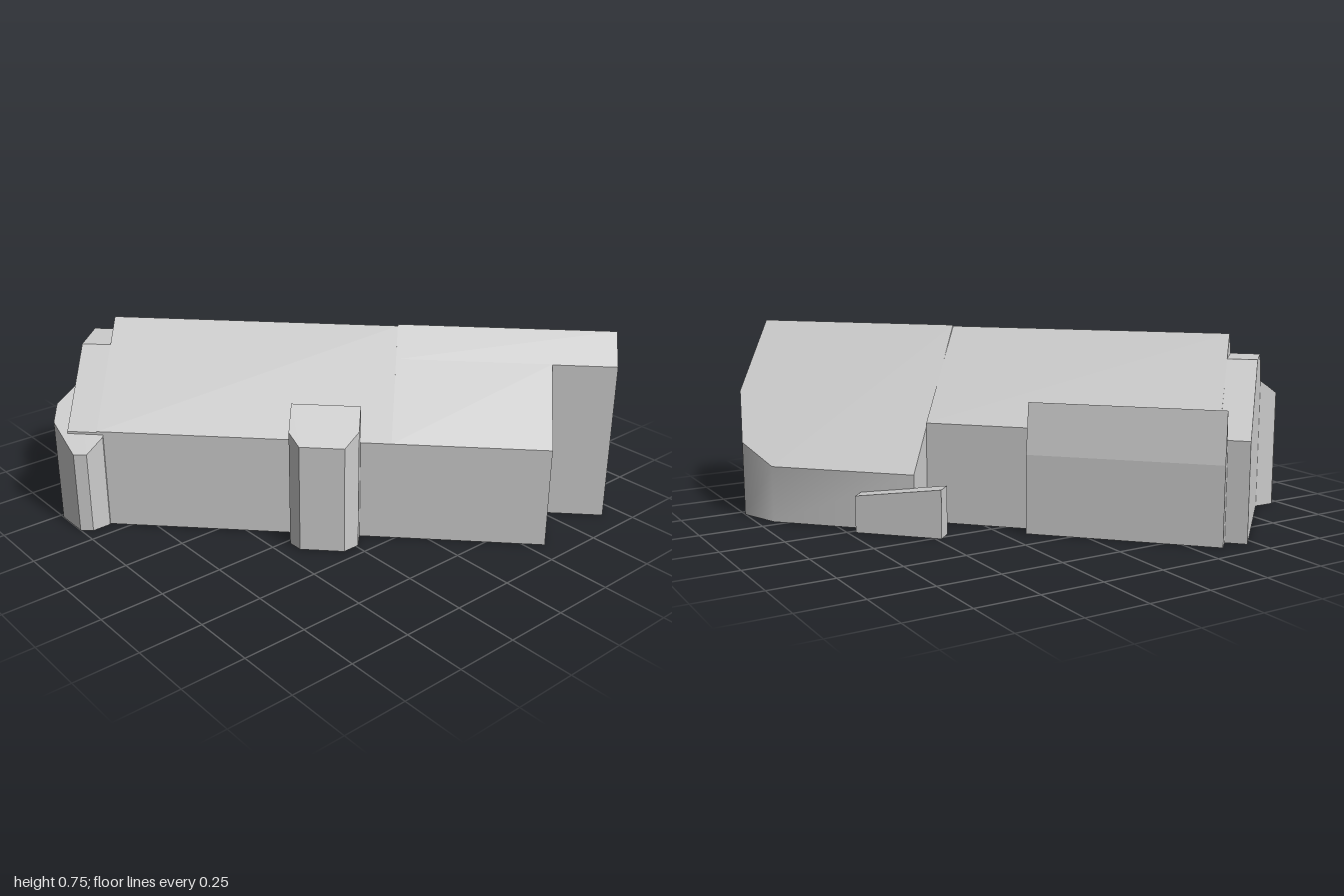
import * as THREE from 'three';
import { toCreasedNormals } from 'three/addons/utils/BufferGeometryUtils.js';

export function createModel() {
  const model = new THREE.Group();
  model.name = 'hall';
  const building = new THREE.Group();
  building.name = 'building';
  building.rotation.y = -THREE.MathUtils.degToRad(45.7); // long axis runs diagonally
  model.add(building);

  const stone = new THREE.MeshStandardMaterial({ color: 0xcccccc });
  stone.name = 'pale grey';

  // Local plan coordinates: u along the building, v across it (v = -z)
  function add(name, geometry) {
    const mesh = new THREE.Mesh(geometry, stone);
    mesh.name = name;
    building.add(mesh);
  }

  // Cross-section [v, y] swept from u0 to u1
  function sweep(name, u0, u1, section) {
    const shape = new THREE.Shape(section.map(([v, y]) => new THREE.Vector2(v, y)));
    const g = new THREE.ExtrudeGeometry(shape, { depth: u1 - u0, bevelEnabled: false });
    g.rotateY(Math.PI / 2);
    g.translate(u0, 0, 0);
    add(name, g);
  }

  // Convex plan [u, v] raised from the ground to a sloping top
  function prism(name, plan, height) {
    const pts = plan.map(([u, v]) => new THREE.Vector2(u, v));
    if (THREE.ShapeUtils.area(pts) < 0) pts.reverse();
    const low = pts.map((p) => [p.x, 0, -p.y]);
    const top = pts.map((p) => [p.x, height(p.x, p.y), -p.y]);
    const pos = [];
    const tri = (a, b, c) => pos.push(...a, ...b, ...c);
    pts.forEach((p, i) => {
      const j = (i + 1) % pts.length;
      tri(low[i], low[j], top[j]);
      tri(low[i], top[j], top[i]);
      if (i > 0 && j > 0) {
        tri(top[0], top[i], top[j]);
        tri(low[0], low[j], low[i]);
      }
    });
    const g = new THREE.BufferGeometry();
    g.setAttribute('position', new THREE.Float32BufferAttribute(pos, 3));
    add(name, toCreasedNormals(g, 0.68));
  }

  const ridge = -0.05;
  const southRoof = (u, v) => 0.745 - 0.94 * (ridge - v);

  // Main gabled hall, and its lower end with the ridge cut flat
  sweep('mainHall', -0.864, 0.272, [
    [-0.413, 0], [0.313, 0], [0.313, 0.4], [ridge, 0.745], [-0.413, 0.404],
  ]);
  sweep('clippedEnd', -0.98, -0.864, [
    [-0.413, 0], [0.313, 0], [0.313, 0.39], [0.044, 0.657], [-0.138, 0.657], [-0.413, 0.4],
  ]);

  // Lean-to side wing that continues the main roof slope
  sweep('sideWing', 0.272, 0.872, [
    [-0.413, 0], [-0.154, 0], [-0.154, 0.647], [-0.413, 0.404],
  ]);

  // Taller end hall: narrow straight half and wide rounded half
  sweep('endHallNarrowHalf', 0.272, 1.12, [
    [-0.155, 0], [-0.045, 0], [-0.045, 0.75], [-0.155, 0.645],
  ]);
  prism('endHallRoundedHalf', [
    [0.272, -0.045], [1.12, -0.045], [1.12, 0.219], [1.027, 0.395], [0.864, 0.468], [0.272, 0.468],
  ], (u, v) => 0.75 - 1.023 * (v + 0.045));

  // Corner turret under the extended roof slope
  prism('cornerTurret', [
    [-0.97, -0.255], [-1.007, -0.289], [-1.042, -0.324], [-1.042, -0.381],
    [-0.943, -0.477], [-0.892, -0.475], [-0.84, -0.42], [-0.84, -0.38],
  ], (u, v) => southRoof(u, v) - 0.013);

  // Chamfered bay whose roof rises above the eave
  prism('sideBay', [
    [-0.107, -0.412], [-0.107, -0.496], [-0.064, -0.537],
    [0.106, -0.537], [0.155, -0.486], [0.155, -0.412],
  ], (u, v) => 0.435 + 0.95 * (v + 0.537));

  // Freestanding-looking buttress wall with a steep narrow cap
  sweep('buttressWall', -0.896, -0.149, [
    [0.314, 0], [0.383, 0], [0.383, 0.31], [0.349, 0.507], [0.314, 0.31],
  ]);

  // Low porch wall with a sloping top
  prism('porchWall', [
    [0.142, 0.46], [0.489, 0.46], [0.489, 0.531], [0.142, 0.531],
  ], (u) => 0.145 + (0.489 - u) * 0.13);

  return model;
}
